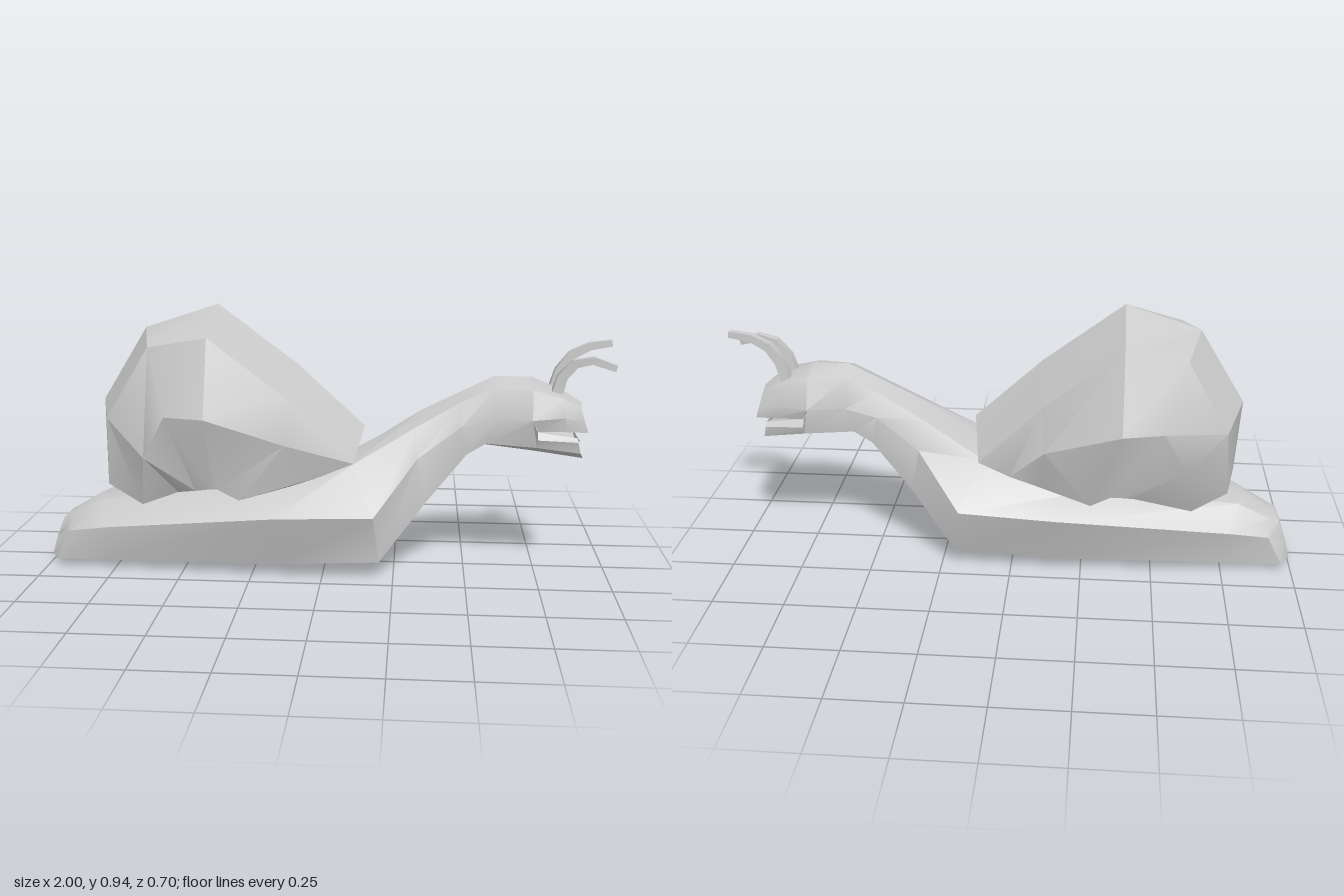
import * as THREE from 'three';
import { toCreasedNormals } from 'three/addons/utils/BufferGeometryUtils.js';

const material = new THREE.MeshStandardMaterial({ color: 0xcccccc, side: THREE.DoubleSide });

// Skin a row of equal-sized rings and close both ends.
function loft(name, rings, crease = 0.6) {
  const n = rings[0].length, last = (rings.length - 1) * n;
  const index = [];
  for (let i = 0; i < rings.length - 1; i++) {
    for (let j = 0; j < n; j++) {
      const a = i * n + j, b = i * n + (j + 1) % n;
      index.push(a, b, a + n, b, b + n, a + n);
    }
  }
  // End caps zip across the ring so that symmetric sections stay symmetric.
  for (let lo = 0, hi = n - 1; lo + 1 < hi; lo++) {
    const cap = (p, q, r) => {
      index.push(p, r, q);
      index.push(last + p, last + q, last + r);
    };
    cap(lo, lo + 1, hi);
    if (lo + 1 < hi - 1) cap(lo + 1, hi - 1, hi);
    hi--;
  }
  const geometry = new THREE.BufferGeometry();
  geometry.setAttribute('position', new THREE.Float32BufferAttribute(rings.flat(2), 3));
  geometry.setIndex(index);
  const mesh = new THREE.Mesh(toCreasedNormals(geometry, crease), material);
  mesh.name = name;
  return mesh;
}

// Complete a half section, running from the top down the +z side, by mirroring it.
const mirror = (half) => [
  ...half,
  ...half.filter((p) => p[2] > 0).reverse().map(([x, y, z]) => [x, y, -z]),
];

// Square-sectioned stalk, tapering along a bent path.
function stalk(name, path) {
  const curve = new THREE.CatmullRomCurve3(path.map((p) => new THREE.Vector3(...p)));
  const rings = [];
  for (let i = 0; i <= 4; i++) {
    const p = curve.getPoint(i / 4), t = curve.getTangent(i / 4);
    const r = 0.027 - 0.011 * (i / 4);
    const up = new THREE.Vector3(-t.y, t.x, 0).normalize();
    rings.push([0, 1, 2, 3].map((k) => {
      const a = Math.PI / 4 + k * Math.PI / 2;
      const q = p.clone().addScaledVector(up, r * Math.cos(a));
      return [q.x, q.y, q.z + r * Math.sin(a)];
    }));
  }
  return loft(name, rings, 0.5);
}

export function createModel() {
  const model = new THREE.Group();
  model.name = 'snail';

  // Foot and neck: crown, shoulder, flank, sole edge, sole centre
  const body = [
    [[-0.955, 0.165, 0], [-0.955, 0.165, 0.06], [-0.98, 0.1, 0.07], [-1, 0.03, 0.07], [-1, 0.03, 0]],
    [[-0.93, 0.185, 0], [-0.92, 0.18, 0.07], [-0.91, 0.14, 0.14], [-0.965, 0.03, 0.13], [-0.97, 0.025, 0]],
    [[-0.83, 0.245, 0], [-0.8, 0.245, 0.09], [-0.77, 0.165, 0.17], [-0.77, 0.035, 0.145], [-0.77, 0.02, 0]],
    [[-0.35, 0.33, 0], [-0.33, 0.31, 0.14], [-0.16, 0.24, 0.27], [-0.16, 0.05, 0.19], [-0.16, 0.005, 0]],
    [[0.1, 0.42, 0], [0.1, 0.4, 0.13], [0.18, 0.24, 0.235], [0.2, 0.065, 0.185], [0.2, 0.035, 0]],
    [[0.34, 0.575, 0], [0.32, 0.53, 0.09], [0.33, 0.43, 0.135], [0.36, 0.27, 0.125], [0.36, 0.26, 0]],
    [[0.48, 0.645, 0], [0.48, 0.62, 0.07], [0.48, 0.54, 0.11], [0.5, 0.44, 0.1], [0.5, 0.42, 0]],
    [[0.59, 0.7, 0], [0.59, 0.67, 0.08], [0.59, 0.57, 0.11], [0.565, 0.48, 0.1], [0.56, 0.455, 0]],
    [[0.72, 0.7, 0], [0.72, 0.67, 0.1], [0.72, 0.57, 0.135], [0.74, 0.47, 0.11], [0.73, 0.435, 0]],
  ];
  model.add(loft('body', body.map(mirror)));

  // Upper head with its overhanging lip
  const upperHead = [
    [[0.72, 0.7, 0], [0.72, 0.67, 0.1], [0.72, 0.57, 0.135], [0.74, 0.53, 0.12], [0.74, 0.53, 0]],
    [[0.83, 0.655, 0], [0.82, 0.645, 0.11], [0.83, 0.58, 0.13], [0.84, 0.53, 0.12], [0.84, 0.525, 0]],
    [[0.9, 0.61, 0], [0.885, 0.61, 0.095], [0.9, 0.56, 0.107], [0.912, 0.525, 0.105], [0.92, 0.523, 0]],
  ];
  model.add(loft('upperHead', upperHead.map(mirror)));

  // Lower jaw, dipping to a point in the middle
  const jaw = [
    [[0.74, 0.52, 0], [0.74, 0.525, 0.11], [0.74, 0.5, 0.125], [0.74, 0.47, 0.11], [0.73, 0.435, 0]],
    [[0.9, 0.47, 0], [0.88, 0.502, 0.09], [0.88, 0.49, 0.107], [0.89, 0.45, 0.1], [0.912, 0.41, 0]],
  ];
  model.add(loft('lowerJaw', jaw.map(mirror)));

  // Shell ribs fanning from the back to the front: ridge, shoulder, bulge, lower rim
  const shell = [
    [[-0.785, 0.345, 0], [-0.75, 0.33, 0.18], [-0.63, 0.26, 0.19], [-0.5, 0.31, 0.2]],
    [[-0.8, 0.6, 0], [-0.73, 0.58, 0.245], [-0.6, 0.45, 0.285], [-0.43, 0.33, 0.25]],
    [[-0.64, 0.86, 0], [-0.59, 0.82, 0.215], [-0.52, 0.6, 0.315], [-0.38, 0.34, 0.265]],
    [[-0.38, 0.945, 0], [-0.38, 0.86, 0.255], [-0.38, 0.6, 0.35], [-0.35, 0.34, 0.265]],
    [[-0.1, 0.735, 0], [-0.11, 0.65, 0.235], [-0.12, 0.5, 0.275], [-0.28, 0.3, 0.255]],
    [[0.14, 0.515, 0], [0.11, 0.425, 0.205], [0, 0.38, 0.215], [-0.1, 0.345, 0.215]],
  ];
  model.add(loft('shell', shell.map(mirror), 0.5));

  // Eye stalks, the left one drooping outwards
  model.add(stalk('leftStalk', [
    [0.8, 0.63, 0.04], [0.835, 0.73, 0.043], [0.9, 0.77, 0.055], [1, 0.745, 0.075],
  ]));
  model.add(stalk('rightStalk', [
    [0.8, 0.63, -0.05], [0.835, 0.74, -0.047], [0.9, 0.795, -0.045], [1, 0.815, -0.046],
  ]));

  return model;
}
